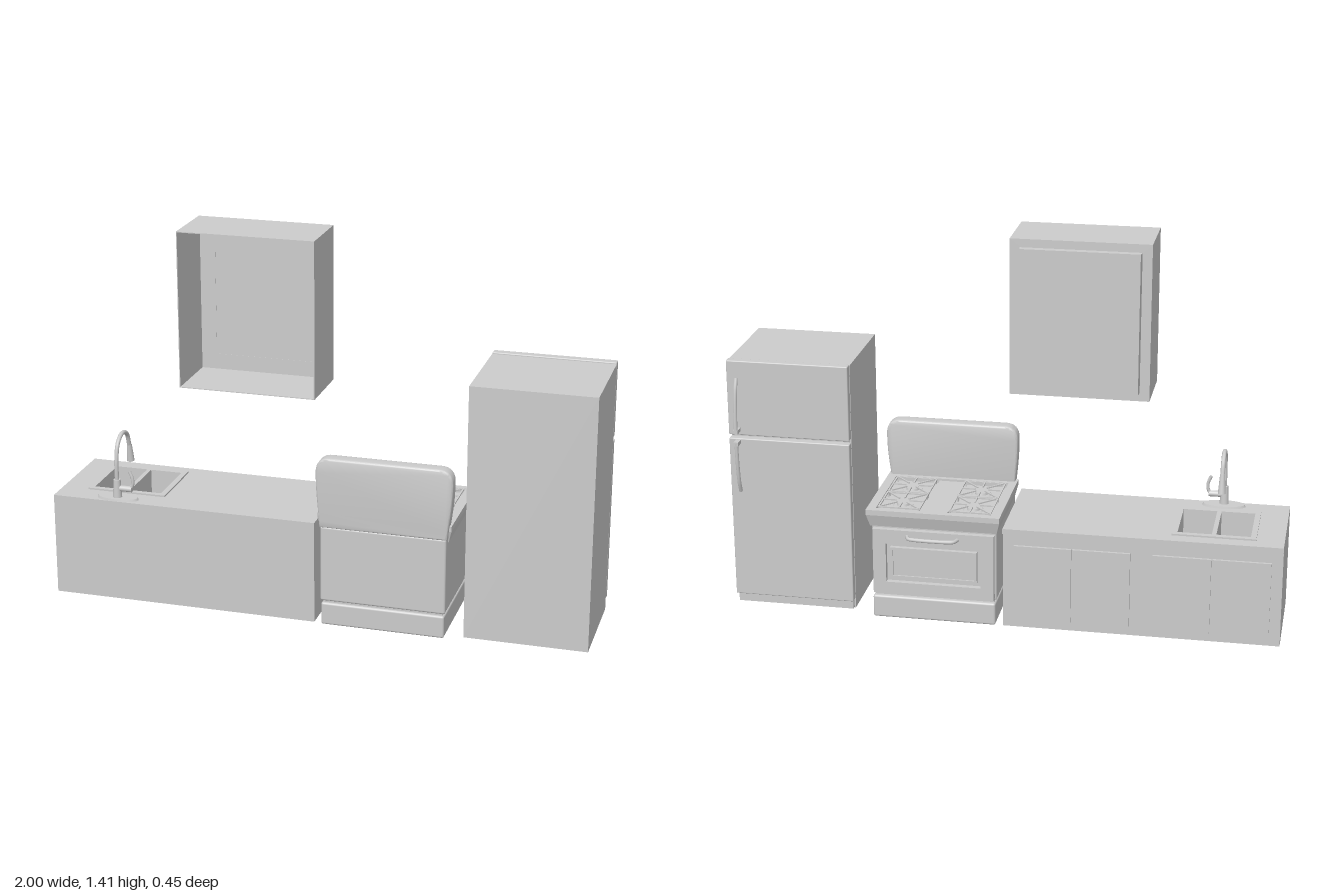
import * as THREE from 'three';
import { RoundedBoxGeometry } from 'three/addons/geometries/RoundedBoxGeometry.js';
import { toCreasedNormals } from 'three/addons/utils/BufferGeometryUtils.js';

const grey = new THREE.MeshStandardMaterial({ color: 0xcccccc, side: THREE.DoubleSide });

function add(parent, name, geometry) {
  const mesh = new THREE.Mesh(geometry, grey);
  mesh.name = name;
  parent.add(mesh);
  return mesh;
}

function group(parent, name) {
  const g = new THREE.Group();
  g.name = name;
  parent.add(g);
  return g;
}

// Box given by its limits on each axis, optionally with rounded edges
function box(parent, name, x0, x1, y0, y1, z0, z1, r = 0) {
  const size = [x1 - x0, y1 - y0, z1 - z0];
  const geo = r ? new RoundedBoxGeometry(...size, 3, r) : new THREE.BoxGeometry(...size);
  const mesh = add(parent, name, geo);
  mesh.position.set((x0 + x1) / 2, (y0 + y1) / 2, (z0 + z1) / 2);
  return mesh;
}

function rect(Type, x0, x1, y0, y1) {
  return new Type([[x0, y0], [x1, y0], [x1, y1], [x0, y1]].map(p => new THREE.Vector2(...p)));
}

// Rectangular plate with rectangular holes, drawn in x and y, extruded along +z
function plateGeometry(outer, holes, depth) {
  const shape = rect(THREE.Shape, ...outer);
  holes.forEach(h => shape.holes.push(rect(THREE.Path, ...h)));
  return new THREE.ExtrudeGeometry(shape, { depth, bevelEnabled: false });
}

// Upright plate: limits in x and y
function frame(parent, name, outer, holes, z0, z1) {
  return add(parent, name, plateGeometry(outer, holes, z1 - z0).translate(0, 0, z0));
}

// Level plate: limits in x and z
function slab(parent, name, outer, holes, y0, y1) {
  return add(parent, name, plateGeometry(outer, holes, y1 - y0).rotateX(Math.PI / 2).translate(0, y1, 0));
}

function tube(parent, name, points, r, segments = 24) {
  const curve = new THREE.CatmullRomCurve3(points.map(p => new THREE.Vector3(...p)));
  return add(parent, name, new THREE.TubeGeometry(curve, segments, r, 10));
}

function cylinder(parent, name, x, y, z, rTop, rBottom, h) {
  const mesh = add(parent, name, new THREE.CylinderGeometry(rTop, rBottom, h, 20));
  mesh.position.set(x, y + h / 2, z);
  return mesh;
}

function buildLowerCabinets(root) {
  const g = group(root, 'lowerCabinets');
  const bowls = [[-0.88, -0.758, -0.12, 0.1], [-0.742, -0.62, -0.12, 0.1]];
  box(g, 'plainCabinetBody', -0.5, 0, 0.005, 0.37, -0.175, 0.21);
  // The sink cabinet is a hollow shell with an open bottom
  slab(g, 'sinkCabinetBody', [-1, -0.5, -0.175, 0.21], [[-0.995, -0.505, -0.17, 0.205]], 0.005, 0.37);
  box(g, 'plainCountertop', -0.5, 0, 0.37, 0.39, -0.19, 0.21);
  slab(g, 'sinkCountertop', [-1, -0.5, -0.19, 0.21], bowls, 0.37, 0.39);
  for (const x of [-1, -0.5]) {
    box(g, 'cabinetDoor', x + 0.04, x + 0.248, 0.04, 0.325, -0.185, -0.174);
    box(g, 'cabinetDoor', x + 0.252, x + 0.46, 0.04, 0.325, -0.185, -0.174);
  }

  // Double sink
  const sink = group(g, 'sink');
  slab(sink, 'sinkRim', [-0.9, -0.6, -0.14, 0.12], bowls, 0.388, 0.396);
  for (const [x0, x1, z0, z1] of bowls) {
    slab(sink, 'bowlWalls', [x0 - 0.003, x1 + 0.003, z0 - 0.003, z1 + 0.003], [[x0, x1, z0, z1]], 0.29, 0.394);
    box(sink, 'bowlFloor', x0, x1, 0.29, 0.295, z0, z1);
    cylinder(sink, 'drain', (x0 + x1) / 2, 0.295, -0.01, 0.018, 0.018, 0.002);
  }

  // Gooseneck faucet with side lever
  const faucet = group(g, 'faucet');
  cylinder(faucet, 'faucetPlate', -0.76, 0.39, 0.175, 0.95, 1, 0.008).scale.set(0.08, 1, 0.035);
  cylinder(faucet, 'faucetBody', -0.76, 0.396, 0.18, 0.013, 0.017, 0.07);
  tube(faucet, 'spout', [[-0.76, 0.45, 0.18], [-0.76, 0.54, 0.18], [-0.76, 0.6, 0.16],
    [-0.76, 0.623, 0.115], [-0.76, 0.605, 0.07], [-0.76, 0.55, 0.048]], 0.008, 32);
  const head = cylinder(faucet, 'sprayHead', -0.76, 0.49, 0.044, 0.009, 0.014, 0.07);
  head.rotation.x = 0.15;
  cylinder(faucet, 'leverHub', -0.73, 0.405, 0.18, 0.011, 0.011, 0.055).rotation.z = Math.PI / 2;
  tube(faucet, 'lever', [[-0.71, 0.43, 0.18], [-0.7, 0.45, 0.18], [-0.7, 0.475, 0.18], [-0.71, 0.5, 0.18]], 0.006);
}

function buildWallCabinet(root) {
  const g = group(root, 'wallCabinet');
  frame(g, 'cabinetShell', [-0.5, 0, 0.85, 1.42], [[-0.497, -0.003, 0.853, 1.417]], -0.038, 0.2);
  frame(g, 'cabinetFace', [-0.5, 0, 0.85, 1.42], [[-0.44, -0.07, 0.91, 1.37]], -0.04, -0.037);
  // Door tapers slightly toward its outer face
  const door = box(g, 'wallCabinetDoor', -0.465, -0.035, 0.88, 1.39, -0.065, -0.038);
  const p = door.geometry.attributes.position;
  for (let i = 0; i < p.count; i++) {
    if (p.getZ(i) < 0) p.setX(i, p.getX(i) * 0.985);
  }
  door.geometry.computeVertexNormals();
}

function buildBurner(parent, x, z) {
  const g = group(parent, 'burner');
  cylinder(g, 'burnerBowl', 0, 0.412, 0, 0.034, 0.038, 0.004);
  cylinder(g, 'burnerCap', 0, 0.414, 0, 0.022, 0.025, 0.01);
  // Grate: square outline with fingers pointing at the cap
  for (const s of [-1, 1]) {
    box(g, 'grateBar', -0.077, 0.077, 0.428, 0.433, s * 0.072 - 0.003, s * 0.072 + 0.003);
    box(g, 'grateBar', s * 0.075 - 0.003, s * 0.075 + 0.003, 0.428, 0.433, -0.075, 0.075);
  }
  for (let i = 0; i < 8; i++) {
    const a = i * Math.PI / 4, len = i % 2 ? 0.08 : 0.05;
    const finger = add(g, 'grateFinger', new THREE.BoxGeometry(len, 0.005, 0.005).translate(0.024 + len / 2, 0, 0));
    finger.position.y = 0.432;
    finger.rotation.y = a;
  }
  for (const sx of [-1, 1]) for (const sz of [-1, 1]) {
    box(g, 'grateFoot', sx * 0.072 - 0.003, sx * 0.072 + 0.003, 0.412, 0.43, sz * 0.07 - 0.003, sz * 0.07 + 0.003);
  }
  g.position.set(x, 0, z);
}

function buildStove(root) {
  const g = group(root, 'stove');
  box(g, 'drawer', 0.028, 0.482, 0.005, 0.09, -0.182, 0.222, 0.008);
  box(g, 'plinthCore', 0.035, 0.475, 0.08, 0.11, -0.165, 0.212);
  box(g, 'stoveBody', 0.025, 0.485, 0.098, 0.385, -0.168, 0.222, 0.008);
  frame(g, 'ovenDoor', [0.032, 0.478, 0.105, 0.355], [[0.08, 0.43, 0.15, 0.3]], -0.188, -0.165);
  frame(g, 'windowTrim', [0.095, 0.415, 0.165, 0.285], [[0.105, 0.405, 0.175, 0.275]], -0.184, -0.166);
  box(g, 'ovenWindow', 0.1, 0.41, 0.17, 0.28, -0.178, -0.166);
  tube(g, 'ovenHandle', [[0.165, 0.333, -0.186], [0.175, 0.333, -0.208], [0.2, 0.333, -0.214],
    [0.315, 0.333, -0.214], [0.34, 0.333, -0.208], [0.35, 0.333, -0.186]], 0.007, 32);

  // Cooktop: flared slab, raised rim and recessed burner area
  const flare = box(g, 'cooktopBase', 0.01, 0.5, 0.365, 0.412, -0.195, 0.205);
  const p = flare.geometry.attributes.position;
  for (let i = 0; i < p.count; i++) {
    if (p.getY(i) < 0) p.setXYZ(i, p.getX(i) * 0.95, p.getY(i), p.getZ(i) * 0.93);
  }
  flare.geometry.computeVertexNormals();
  slab(g, 'cooktopRim', [0.01, 0.5, -0.195, 0.205], [[0.04, 0.467, -0.17, 0.155]], 0.41, 0.43);
  box(g, 'griddleCover', 0.207, 0.3, 0.41, 0.424, -0.165, 0.15);
  for (const x of [0.125, 0.385]) for (const z of [-0.085, 0.07]) buildBurner(g, x, z);

  // Back guard: rounded panel, narrower at its foot
  const s = new THREE.Shape();
  s.moveTo(0.03, 0.39);
  s.lineTo(0.48, 0.39);
  s.bezierCurveTo(0.485, 0.45, 0.498, 0.5, 0.498, 0.59);
  s.quadraticCurveTo(0.498, 0.637, 0.455, 0.637);
  s.lineTo(0.06, 0.637);
  s.quadraticCurveTo(0.017, 0.637, 0.017, 0.59);
  s.bezierCurveTo(0.017, 0.5, 0.027, 0.45, 0.03, 0.39);
  const guard = new THREE.ExtrudeGeometry(s, {
    depth: 0.036, bevelThickness: 0.009, bevelSize: 0.008, bevelSegments: 4, curveSegments: 10,
  });
  add(g, 'backGuard', toCreasedNormals(guard.translate(0, 0, 0.182), 0.7));
}

function buildFridge(root) {
  const g = group(root, 'refrigerator');
  box(g, 'fridgeBody', 0.555, 1, 0.022, 0.96, -0.155, 0.225);
  box(g, 'kickPlate', 0.56, 0.995, 0.024, 0.055, -0.172, -0.154);
  box(g, 'doorSeal', 0.562, 0.993, 0.06, 0.955, -0.162, -0.154);
  box(g, 'freezerDoor', 0.555, 1, 0.685, 0.965, -0.19, -0.158, 0.004);
  box(g, 'mainDoor', 0.555, 1, 0.06, 0.672, -0.19, -0.158, 0.004);
  // Bowed handles, one the mirror of the other about the door seam
  for (const [s, seam] of [[1, 0.7], [-1, 0.668]]) {
    const y = d => seam + s * d;
    tube(g, 'doorHandle', [[0.965, y(0.2), -0.188], [0.965, y(0.16), -0.203], [0.965, y(0.09), -0.214],
      [0.965, y(0.004), -0.219]], 0.007);
    box(g, 'handleMount', 0.956, 0.974, Math.min(y(0), y(0.014)), Math.max(y(0), y(0.014)), -0.225, -0.188);
  }
}

export function createModel() {
  const root = new THREE.Group();
  root.name = 'kitchenSet';
  buildLowerCabinets(root);
  buildWallCabinet(root);
  buildStove(root);
  buildFridge(root);
  return root;
}
